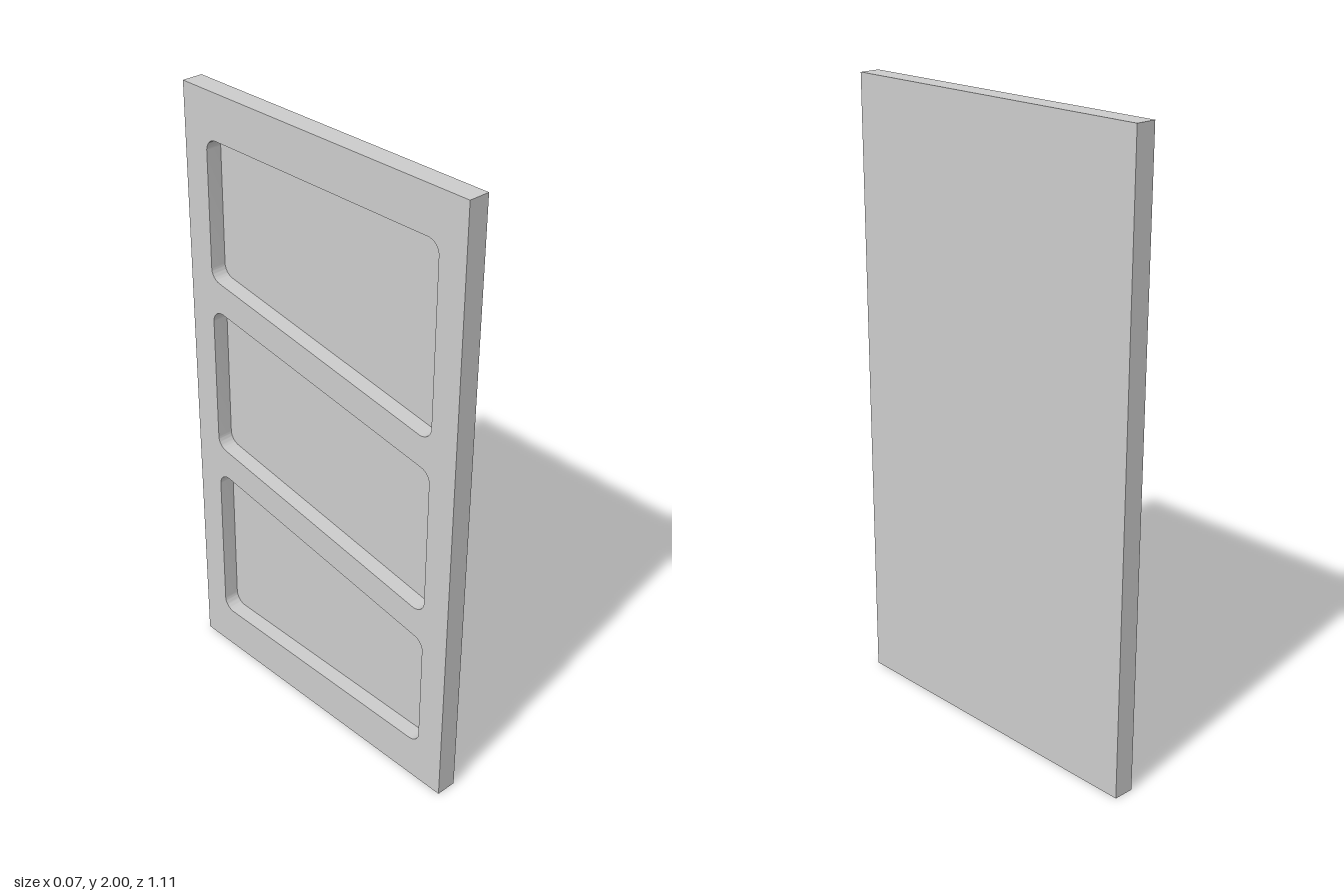
import * as THREE from 'three';
import { toCreasedNormals } from 'three/addons/utils/BufferGeometryUtils.js';

const WIDTH = 1.11, HEIGHT = 2, THICK = 0.068, DEPTH = 0.052;
const SIDE = 0.46, RADIUS = 0.04;

// Traces a counter-clockwise polygon with true circular corners.
function roundedPolygon(corners, r, path) {
  const n = corners.length;
  corners.forEach(([x, y], i) => {
    const [px, py] = corners[(i + n - 1) % n];
    const [nx, ny] = corners[(i + 1) % n];
    const a = Math.atan2(y - py, x - px);
    const turn = (Math.atan2(ny - y, nx - x) - a + 2 * Math.PI) % (2 * Math.PI);
    const t = r * Math.tan(turn / 2);
    const cx = x - Math.cos(a) * t - Math.sin(a) * r;
    const cy = y - Math.sin(a) * t + Math.cos(a) * r;
    path.absarc(cx, cy, r, a - Math.PI / 2, a + turn - Math.PI / 2, false);
  });
  path.closePath();
  return path;
}

// Inward-facing wall joining the recess floor to the panel face.
function recessWall(outline, z0, z1) {
  const pos = [];
  outline.forEach((a, i) => {
    const b = outline[(i + 1) % outline.length];
    if (a.distanceTo(b) < 1e-6) return;
    pos.push(b.x, b.y, z0, a.x, a.y, z0, a.x, a.y, z1);
    pos.push(b.x, b.y, z0, a.x, a.y, z1, b.x, b.y, z1);
  });
  const geo = new THREE.BufferGeometry();
  geo.setAttribute('position', new THREE.Float32BufferAttribute(pos, 3));
  geo.computeVertexNormals();
  return toCreasedNormals(geo, Math.PI / 6);
}

export function createModel() {
  const model = new THREE.Group();
  model.name = 'doorPanel';
  const material = new THREE.MeshStandardMaterial({ color: 0xcccccc });

  // Drawn facing +z, then turned so the recessed face looks toward -x.
  const panel = new THREE.Group();
  panel.name = 'panel';
  panel.rotation.y = -Math.PI / 2;
  model.add(panel);
  const add = (name, geometry) => {
    const mesh = new THREE.Mesh(geometry, material);
    mesh.name = name;
    panel.add(mesh);
    return mesh;
  };

  // Slab shell, left open on the recessed face.
  const slab = new THREE.BoxGeometry(WIDTH, HEIGHT, THICK);
  slab.setIndex(Array.from(slab.index.array).filter((_, i) => i < 24 || i >= 30));
  slab.clearGroups();
  slab.translate(0, HEIGHT / 2, 0);
  add('slab', slab);

  // Each recess: bottom left, bottom right, top right, top left heights.
  const recesses = [
    ['lowerRecess', 0.145, 0.145, 0.55, 0.705],
    ['middleRecess', 0.805, 0.65, 1.15, 1.305],
    ['upperRecess', 1.405, 1.25, 1.855, 1.855],
  ];
  const w = WIDTH / 2;
  const face = new THREE.Shape();
  face.moveTo(-w, 0).lineTo(w, 0).lineTo(w, HEIGHT).lineTo(-w, HEIGHT).closePath();
  const front = THREE.MathUtils.clamp(THICK / 2, 0, 1), floor = front - DEPTH;

  for (const [name, bl, br, tr, tl] of recesses) {
    const corners = [[-SIDE, bl], [SIDE, br], [SIDE, tr], [-SIDE, tl]];
    const shape = roundedPolygon(corners, RADIUS, new THREE.Shape());
    face.holes.push(roundedPolygon(corners, RADIUS, new THREE.Path()));
    add(name + 'Floor', new THREE.ShapeGeometry(shape, 8)).position.z = floor;
    add(name + 'Wall', recessWall(shape.getPoints(8), floor, front));
  }

  // Frame face around the recesses.
  add('frameFace', new THREE.ShapeGeometry(face, 8)).position.z = front;
  return model;
}
